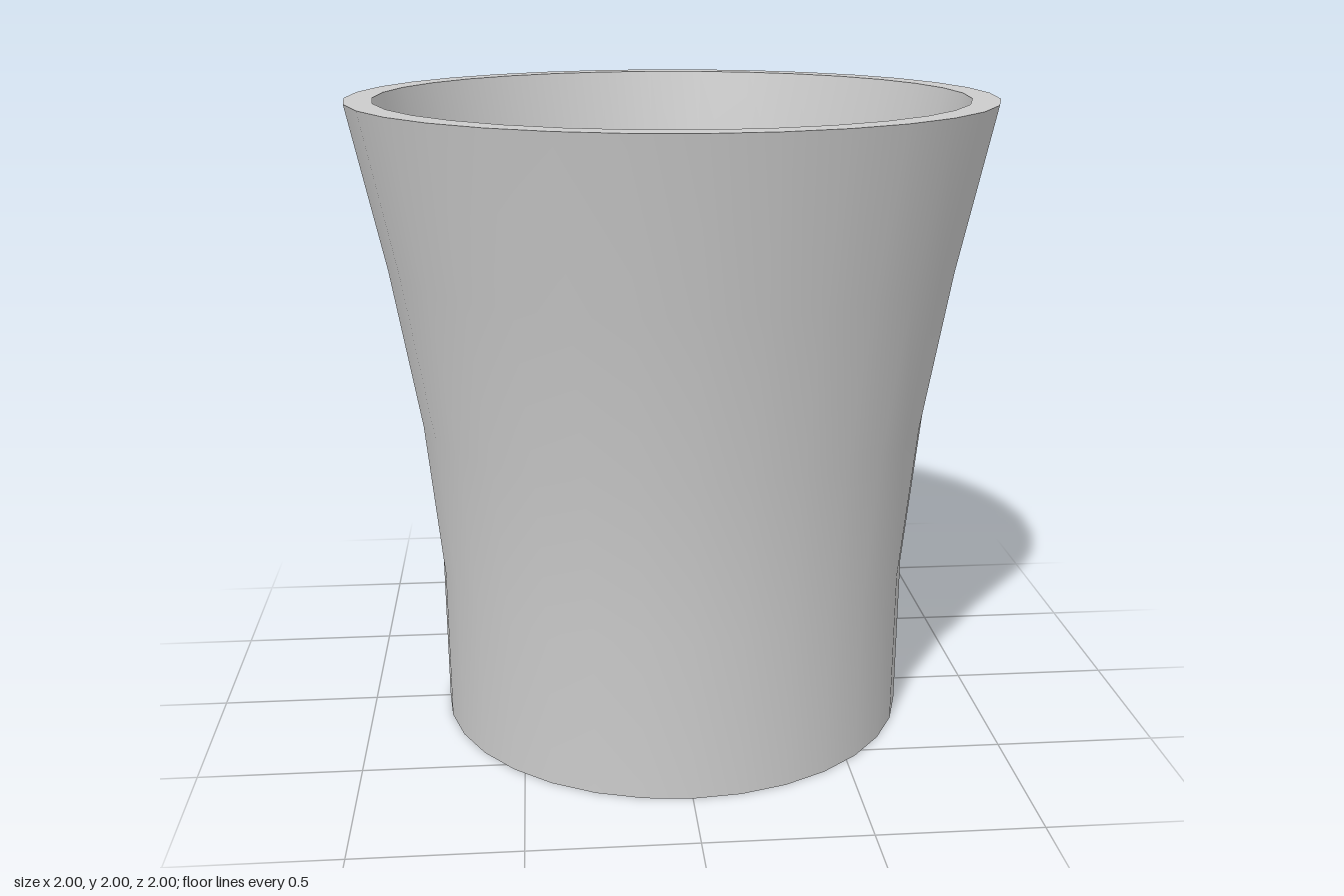
import * as THREE from 'three';

const SEGMENTS = 32;
const INNER_SCALE = 0.915; // inner wall radius relative to the outer wall

// Outer wall, bottom to top: [radius, height]
const PROFILE = [[0.753, 0], [0.757, 0.5], [0.807, 1], [0.893, 1.5], [1, 2]];

export function createModel() {
  const group = new THREE.Group();
  group.name = 'flaredSleeve';
  const material = new THREE.MeshStandardMaterial({ color: 0xcccccc });

  const outer = PROFILE.map(([r, y]) => new THREE.Vector2(r, y));
  const inner = PROFILE.map(([r, y]) => new THREE.Vector2(r * INNER_SCALE, y)).reverse();
  const last = PROFILE.length - 1;

  // Each section is its own lathe, so the rim edges stay sharp
  const sections = {
    outerWall: outer,
    topRim: [outer[last], inner[0]],
    innerWall: inner,
    bottomRim: [inner[last], outer[0]],
  };
  for (const [name, points] of Object.entries(sections)) {
    const mesh = new THREE.Mesh(new THREE.LatheGeometry(points, SEGMENTS), material);
    mesh.name = name;
    group.add(mesh);
  }
  return group;
}
